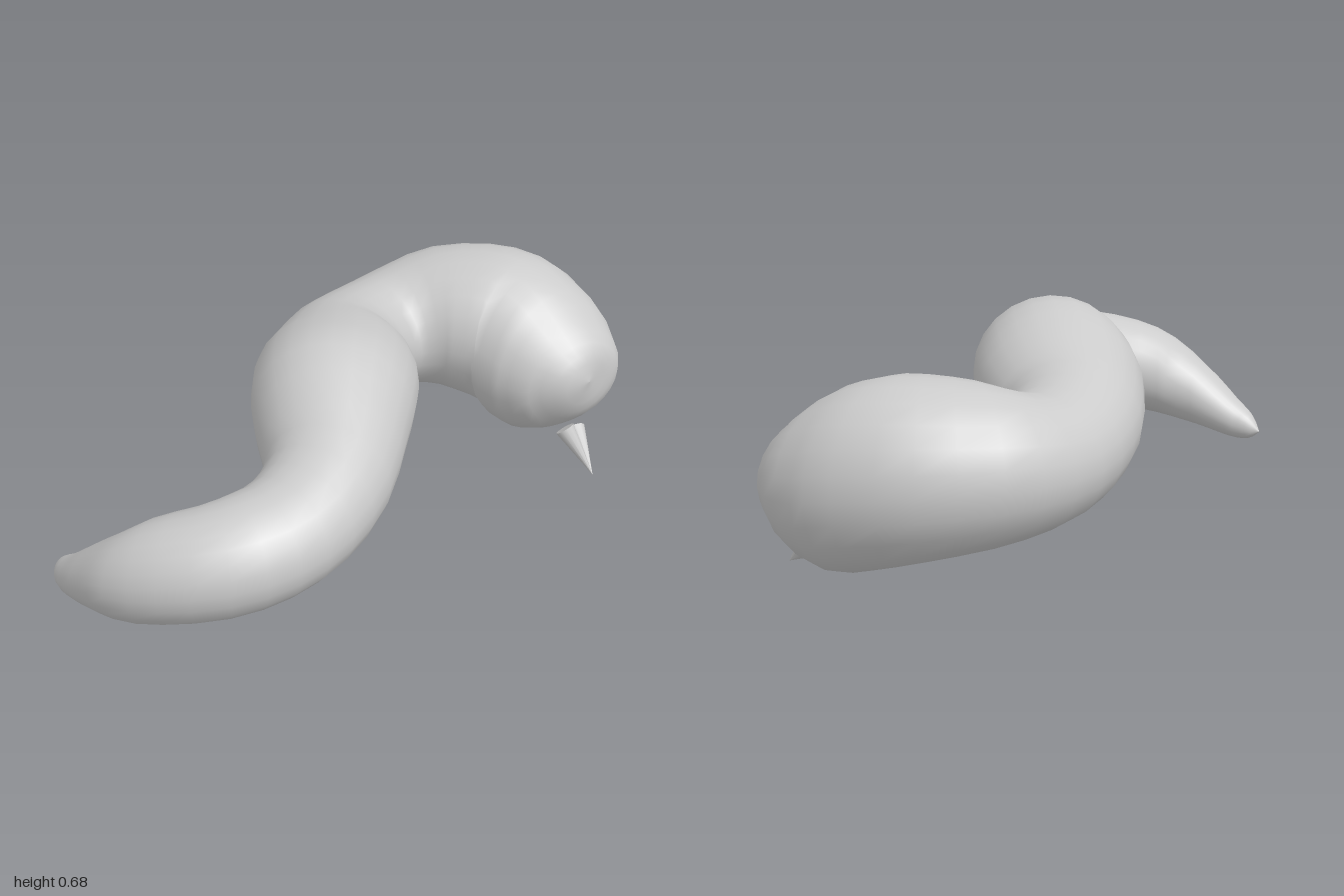
import * as THREE from 'three';

const material = new THREE.MeshStandardMaterial({ color: 0xcccccc });

// Body stations from tail to head: x, z, bottom y, top y, half width
const STATIONS = [
  [-0.92, -0.21, 0.10, 0.10, 0],
  [-0.92, -0.17, 0.07, 0.15, 0.035],
  [-0.92, -0.10, 0.065, 0.20, 0.065],
  [-0.90, 0.03, 0.09, 0.31, 0.10],
  [-0.845, 0.175, 0.12, 0.42, 0.14],
  [-0.69, 0.32, 0.165, 0.485, 0.165],
  [-0.50, 0.35, 0.19, 0.51, 0.17],
  [-0.30, 0.27, 0.21, 0.575, 0.185],
  [-0.125, 0.07, 0.22, 0.68, 0.24],
  [0.025, -0.10, 0.22, 0.65, 0.25],
  [0.17, -0.25, 0.21, 0.59, 0.205],
  [0.38, -0.325, 0.19, 0.555, 0.20],
  [0.575, -0.27, 0.165, 0.615, 0.245],
  [0.715, -0.11, 0.115, 0.635, 0.26],
  [0.75, 0.05, 0.065, 0.59, 0.25],
  [0.75, 0.18, 0.12, 0.50, 0.205],
  [0.74, 0.26, 0.21, 0.42, 0.12],
  [0.74, 0.285, 0.33, 0.33, 0],
];

// Sweeps upright elliptical sections along the stations
function sweptBody(rings, sides) {
  const centre = new THREE.CatmullRomCurve3(
    STATIONS.map(([x, z, lo, hi]) => new THREE.Vector3(x, (lo + hi) / 2, z)), false, 'catmullrom');
  const radii = new THREE.CatmullRomCurve3(
    STATIONS.map(([, , lo, hi, w]) => new THREE.Vector3(w, (hi - lo) / 2, 0)), false, 'catmullrom');
  const positions = [];
  const index = [];
  for (let i = 0; i <= rings; i++) {
    const c = centre.getPoint(i / rings);
    const r = radii.getPoint(i / rings);
    const t = centre.getTangent(i / rings).setY(0).normalize();
    for (let j = 0; j < sides; j++) {
      const a = (j / sides) * Math.PI * 2;
      const w = Math.max(r.x, 0) * Math.cos(a);
      positions.push(c.x + t.z * w, c.y + Math.max(r.y, 0) * Math.sin(a), c.z - t.x * w);
      if (i === rings) continue;
      const p = i * sides + j;
      const q = i * sides + ((j + 1) % sides);
      index.push(p, q, p + sides, q, q + sides, p + sides);
    }
  }
  const geometry = new THREE.BufferGeometry();
  geometry.setAttribute('position', new THREE.Float32BufferAttribute(positions, 3));
  geometry.setIndex(index);
  geometry.computeVertexNormals();
  return geometry;
}

// Cone from a base centre to a tip
function fang(name, base, tip, radius) {
  const axis = tip.clone().sub(base);
  const mesh = new THREE.Mesh(new THREE.ConeGeometry(radius, axis.length(), 12), material);
  mesh.position.copy(base).add(tip).multiplyScalar(0.5);
  mesh.quaternion.setFromUnitVectors(new THREE.Vector3(0, 1, 0), axis.normalize());
  mesh.name = name;
  return mesh;
}

export function createModel() {
  const model = new THREE.Group();
  model.name = 'grub';

  const body = new THREE.Mesh(sweptBody((STATIONS.length - 1) * 3, 24), material);
  body.name = 'body';
  model.add(body);

  // Mouth fangs meeting at their tips below the head
  const tip = new THREE.Vector3(0.737, 0.003, 0.34);
  model.add(fang('rightFang', new THREE.Vector3(0.705, 0.14, 0.23), tip, 0.032));
  model.add(fang('leftFang', new THREE.Vector3(0.785, 0.098, 0.202), tip, 0.032));
  return model;
}
